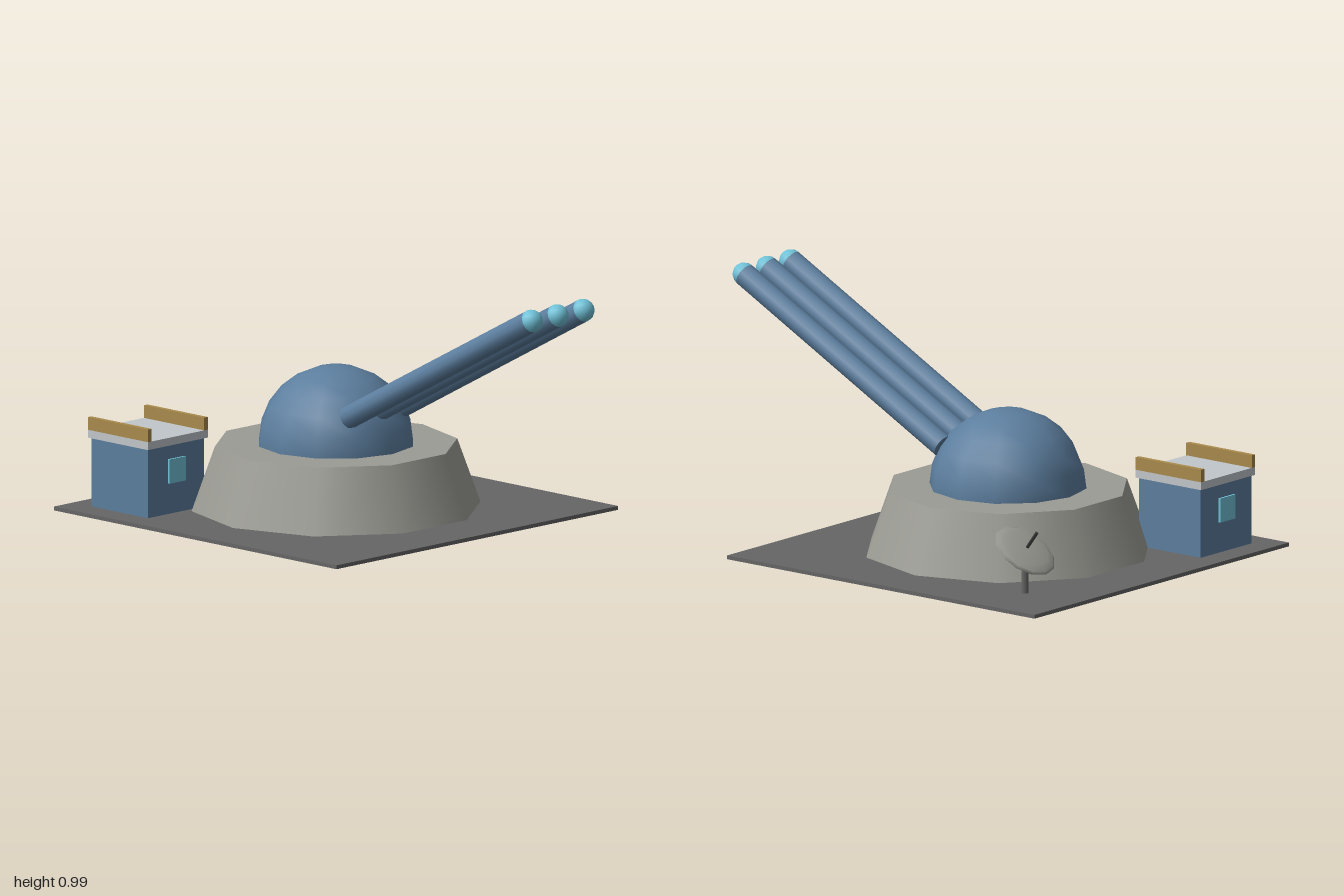
import * as THREE from 'three';

const mat = (name, color) => {
  const m = new THREE.MeshStandardMaterial({ color });
  m.name = name;
  return m;
};

export function createModel() {
  const slate = mat('slate ground', 0x666666);
  const concrete = mat('concrete', 0x9c9c95);
  const blue = mat('steel blue', 0x5c7e9e);
  const cyan = mat('glowing cyan', 0x70c2d8);
  const pale = mat('pale roof', 0xc2c7cb);
  const gold = mat('gold trim', 0xa98a4c);
  const dark = mat('dark metal', 0x383838);

  const model = new THREE.Group();
  model.name = 'turret';
  const add = (parent, name, geometry, material, x = 0, y = 0, z = 0) => {
    const mesh = new THREE.Mesh(geometry, material);
    mesh.name = name;
    mesh.position.set(x, y, z);
    parent.add(mesh);
    return mesh;
  };
  const group = (name, x = 0, y = 0, z = 0) => {
    const g = new THREE.Group();
    g.name = name;
    g.position.set(x, y, z);
    model.add(g);
    return g;
  };
  const box = (w, h, d) => new THREE.BoxGeometry(w, h, d);
  const ground = 0.015;
  const centreZ = -0.2375;

  // Ground plate and ten-sided base
  add(model, 'groundPlate', box(1.53, ground, 1.525), slate, 0, ground / 2, centreZ);
  add(model, 'base', new THREE.CylinderGeometry(0.47, 0.56, 0.25, 10).rotateY(Math.PI / 2),
    concrete, 0, ground + 0.125, centreZ);

  // Half-sphere dome
  add(model, 'dome', new THREE.SphereGeometry(0.305, 12, 6, 0, Math.PI * 2, 0, Math.PI / 2),
    blue, 0, 0.262, centreZ);

  // Three raised barrels with round glowing tips
  const butt = new THREE.Vector3(0, 0.415, -0.03);
  const tip = new THREE.Vector3(0, 0.94, 0.955);
  const along = tip.clone().sub(butt);
  const length = along.length();
  for (const x of [-0.14, 0, 0.14]) {
    const barrel = group('barrel', x, butt.y, butt.z);
    barrel.quaternion.setFromUnitVectors(new THREE.Vector3(0, 1, 0), along.clone().normalize());
    add(barrel, 'barrelTube', new THREE.CylinderGeometry(0.045, 0.045, length, 12), blue, 0, length / 2, 0);
    add(barrel, 'barrelTip', new THREE.SphereGeometry(0.0455, 12, 8), cyan, 0, length, 0);
  }

  // Guard hut with parapets and a window at front and back
  const hut = group('hut', -0.51, 0, -0.746);
  add(hut, 'hutWalls', box(0.305, 0.27, 0.305), blue, 0, ground + 0.135, 0);
  add(hut, 'hutRoof', box(0.325, 0.031, 0.325), pale, 0, 0.3, 0);
  for (const s of [-1, 1]) {
    add(hut, 'parapet', box(0.02, 0.05, 0.325), gold, s * 0.1525, 0.34, 0);
    add(hut, 'window', box(0.09, 0.095, 0.009), cyan, 0, 0.182, s * 0.157);
  }

  // Tilted dish on a post
  const dish = group('dish', 0.51, 0.18, -0.742);
  add(dish, 'dishPost', new THREE.CylinderGeometry(0.014, 0.014, 0.16, 8), slate, 0, -0.085, 0);
  const head = new THREE.Group();
  head.name = 'dishHead';
  head.rotation.x = -0.64;
  dish.add(head);
  add(head, 'dishBowl', new THREE.SphereGeometry(0.13, 12, 8).scale(1, 0.16, 1), concrete);
  add(head, 'dishFeed', new THREE.CylinderGeometry(0.007, 0.007, 0.1, 6), dark, 0, 0.05, 0);

  return model;
}
